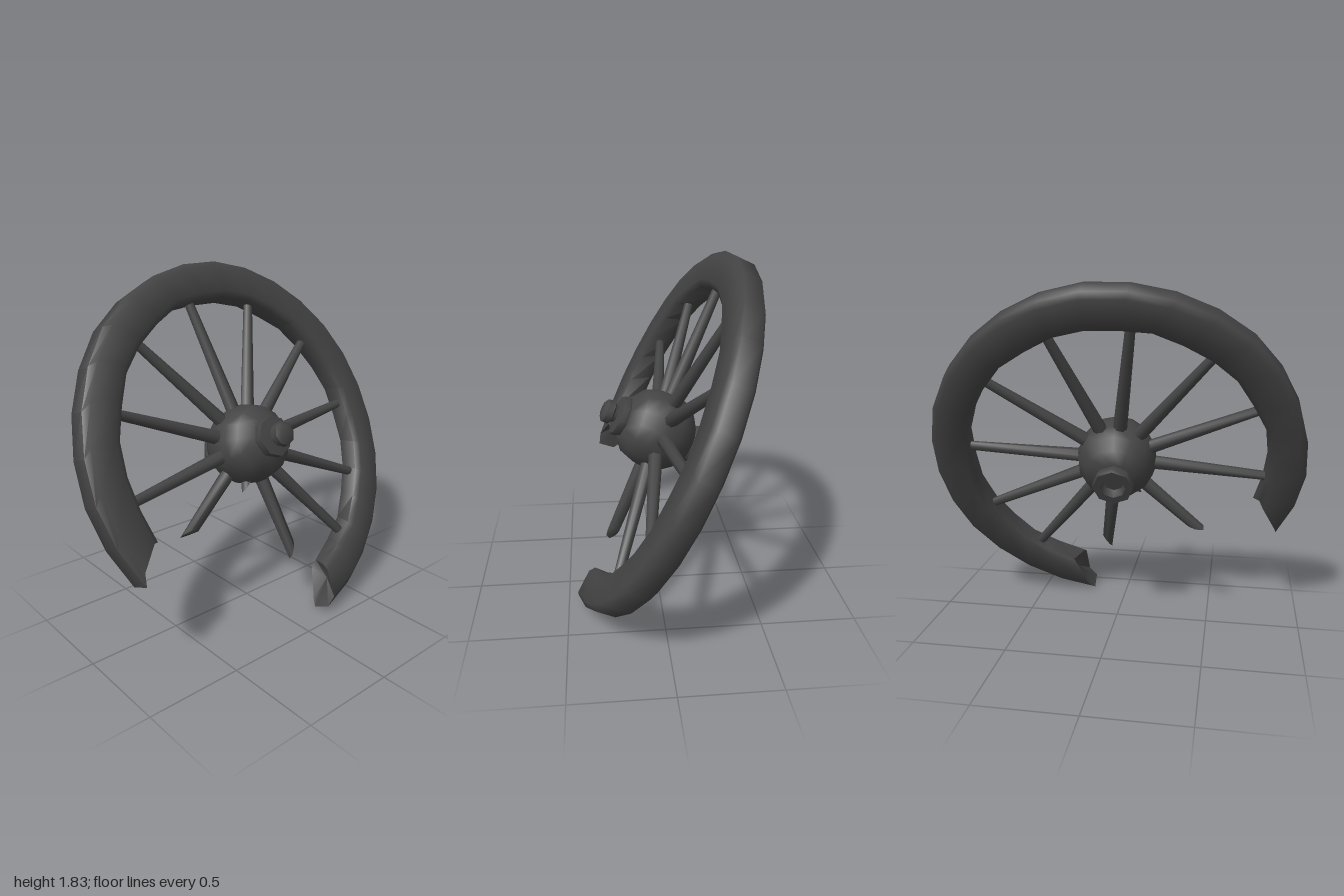
import * as THREE from 'three';
import { toCreasedNormals } from 'three/addons/utils/BufferGeometryUtils.js';

const material = new THREE.MeshStandardMaterial({ color: 0x444444, side: THREE.DoubleSide });
const rad = THREE.MathUtils.degToRad;

function addMesh(parent, name, geometry) {
  const mesh = new THREE.Mesh(geometry, material);
  mesh.name = name;
  parent.add(mesh);
  return mesh;
}

// Broken rim: a bevelled section swept round an arc, each corner with its own start and end angle
function rimGeometry() {
  // radius, axial offset, start angle, end angle
  const section = [
    [0.8, -0.05, -69, 197], [0.83, -0.072, -72, 199], [0.97, -0.072, -78, 206], [1, -0.05, -80, 208],
    [1, 0.05, -80, 208.5], [0.97, 0.072, -77, 205], [0.83, 0.072, -74, 201], [0.8, 0.05, -73, 202],
  ];
  const n = section.length, steps = 23;
  const positions = [], index = [];
  for (let i = 0; i <= steps; i++) {
    // slight unevenness, as if hewn by hand
    const wobble = 0.006 * Math.sin(i * 2.4);
    for (const [r, z, start, end] of section) {
      const a = rad(start + (end - start) * i / steps);
      const radius = r - (r > 0.9 ? Math.abs(wobble) : wobble);
      positions.push(radius * Math.cos(a), radius * Math.sin(a), z);
    }
  }
  for (let i = 0; i < steps; i++) {
    for (let j = 0; j < n; j++) {
      const a = i * n + j, b = i * n + (j + 1) % n;
      index.push(a, a + n, b, b, a + n, b + n);
    }
  }
  // splintered end caps, sunk a little at the middle
  for (const [ring, angle, flip] of [[0, -72, false], [steps, 200, true]]) {
    const c = positions.length / 3;
    positions.push(0.9 * Math.cos(rad(angle)), 0.9 * Math.sin(rad(angle)), 0);
    for (let j = 0; j < n; j++) {
      const a = ring * n + j, b = ring * n + (j + 1) % n;
      index.push(c, flip ? b : a, flip ? a : b);
    }
  }
  const geometry = new THREE.BufferGeometry();
  geometry.setAttribute('position', new THREE.Float32BufferAttribute(positions, 3));
  geometry.setIndex(index);
  return toCreasedNormals(geometry, 1.0);
}

// Tapered spoke from the hub to a tip at (angle, reach, z); broken ones end in a splinter
function addSpoke(parent, angle, reach, broken = false, z = 0) {
  const a = rad(angle);
  const dir = new THREE.Vector3(Math.cos(a) * reach, Math.sin(a) * reach, z);
  const length = dir.length();
  const geometry = new THREE.CylinderGeometry(broken ? 0.031 : 0.025, 0.042, length, 7, 1);
  geometry.translate(0, length / 2, 0);
  if (broken) {
    const p = geometry.attributes.position;
    for (let i = 0; i < p.count; i++) {
      if (p.getY(i) > length * 0.9) {
        p.setY(i, length - 0.04 + p.getX(i) * 1.3 - Math.abs(p.getZ(i)) * 0.6);
      }
    }
  }
  const spoke = addMesh(parent, broken ? 'brokenSpoke' : 'spoke', toCreasedNormals(geometry, 1.1));
  spoke.quaternion.setFromUnitVectors(new THREE.Vector3(0, 1, 0), dir.normalize());
}

// Turned part along the wheel's axle (+z)
function addTurned(parent, name, points, sides, crease) {
  const profile = points.map(([r, a]) => new THREE.Vector2(r, a));
  const geometry = new THREE.LatheGeometry(profile, sides).rotateX(Math.PI / 2);
  addMesh(parent, name, toCreasedNormals(geometry, crease));
}

export function createModel() {
  const model = new THREE.Group();
  const wheel = new THREE.Group();
  wheel.name = 'brokenWheel';
  // leaning back and turned slightly to one side
  wheel.rotation.set(-0.435, 0.065, 0, 'YXZ');
  wheel.position.y = 0.922;
  model.add(wheel);

  addMesh(wheel, 'rim', rimGeometry());

  // whole spokes
  for (const angle of [4.5, 36, 67, 97, 128, 156, 187, 307, 334.5]) addSpoke(wheel, angle, 0.83);
  // snapped spokes and a stub
  addSpoke(wheel, 219, 0.6, true, -0.15);
  addSpoke(wheel, 248, 0.27, true);
  addSpoke(wheel, 277.5, 0.67, true);

  // hub ball
  addTurned(wheel, 'hub', [
    [0, -0.19], [0.1, -0.185], [0.16, -0.145], [0.2, -0.08], [0.215, 0],
    [0.205, 0.07], [0.18, 0.135], [0.115, 0.19], [0, 0.2],
  ], 14, 1.0);
  // front collar and axle nut
  addTurned(wheel, 'frontCollar', [[0.1, 0.17], [0.112, 0.2], [0.108, 0.232], [0.06, 0.24], [0, 0.24]], 8, 0.8);
  addTurned(wheel, 'axleNut', [[0.045, 0.23], [0.048, 0.255], [0.066, 0.265], [0.064, 0.3], [0.04, 0.315], [0, 0.315]], 8, 0.8);
  // hollow back collar
  addTurned(wheel, 'backCollar', [[0, -0.2], [0.055, -0.2], [0.065, -0.25], [0.105, -0.25], [0.11, -0.225], [0.09, -0.17]], 8, 0.8);

  return model;
}
